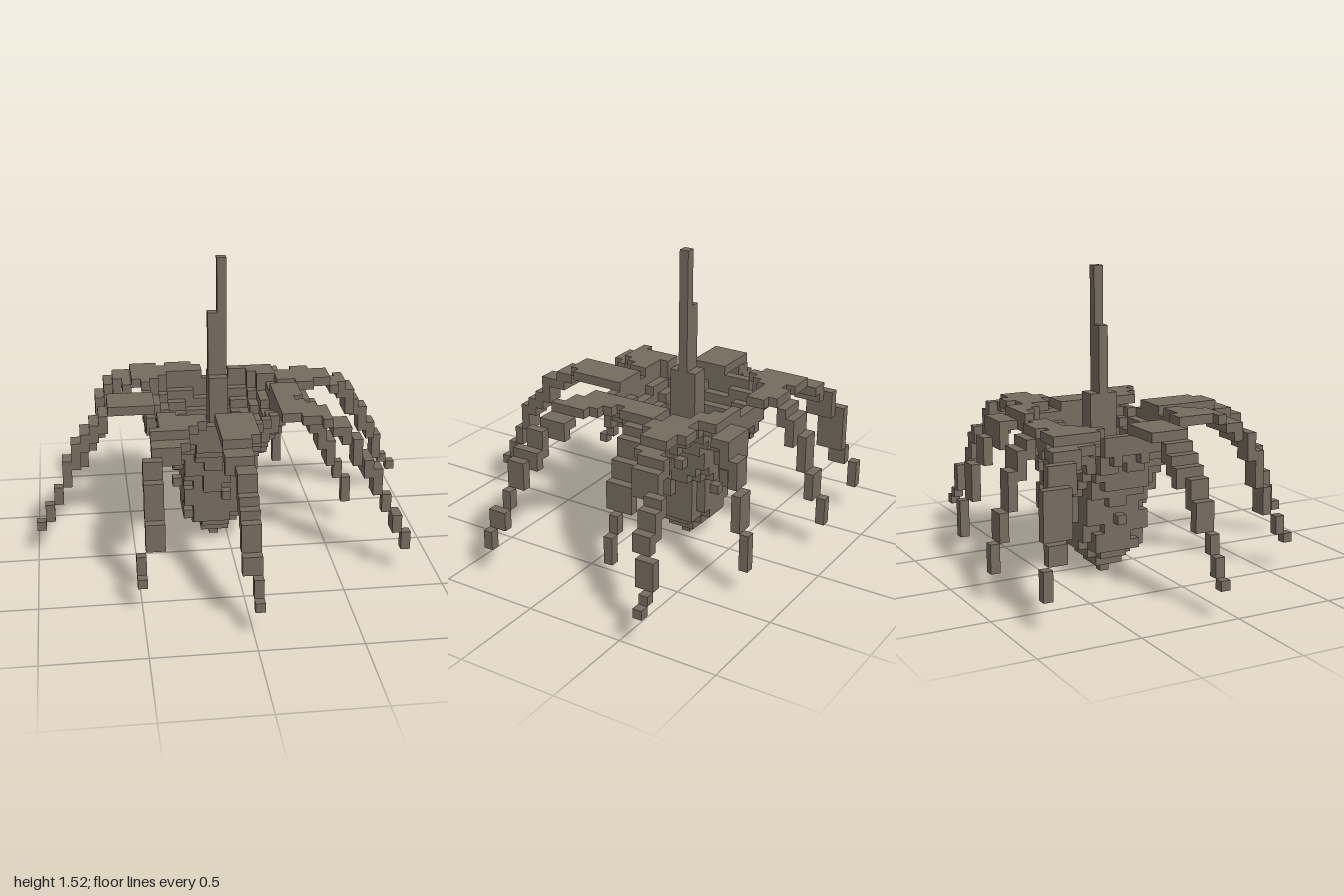
import * as THREE from 'three';

const U = 1 / 21; // edge of one cube
const CX = -1.5, CZ = -4.5; // axis of the pod, in cubes

// six cube faces: outward normal and the two edge directions (u x v = n)
const FACES = [
  [[1, 0, 0], [0, 1, 0], [0, 0, 1]], [[-1, 0, 0], [0, 0, 1], [0, 1, 0]],
  [[0, 1, 0], [0, 0, 1], [1, 0, 0]], [[0, -1, 0], [1, 0, 0], [0, 0, 1]],
  [[0, 0, 1], [1, 0, 0], [0, 1, 0]], [[0, 0, -1], [0, 1, 0], [1, 0, 0]],
];

// a set of cubes, turned into a mesh of only its exposed faces
class Cubes {
  constructor() { this.cells = new Map(); }
  add(x, y, z) { this.cells.set(`${x},${y},${z}`, [x, y, z]); }
  box(x0, x1, y0, y1, z0, z1) {
    for (let x = x0; x < x1; x++)
      for (let y = y0; y < y1; y++)
        for (let z = z0; z < z1; z++) this.add(x, y, z);
  }
  mesh(name, material) {
    const pos = [], nor = [];
    for (const c of this.cells.values()) {
      for (const [n, u, v] of FACES) {
        if (this.cells.has(c.map((a, i) => a + n[i]).join())) continue;
        const corner = (s, t) => c.map((a, i) =>
          (a + 0.5 + n[i] / 2 + s * u[i] / 2 + t * v[i] / 2) * U);
        const q = [corner(-1, -1), corner(1, -1), corner(1, 1), corner(-1, 1)];
        for (const i of [0, 1, 2, 0, 2, 3]) { pos.push(...q[i]); nor.push(...n); }
      }
    }
    const g = new THREE.BufferGeometry();
    g.setAttribute('position', new THREE.Float32BufferAttribute(pos, 3));
    g.setAttribute('normal', new THREE.Float32BufferAttribute(nor, 3));
    const m = new THREE.Mesh(g, material);
    m.name = name;
    return m;
  }
}

// distance from the pod axis, between round and square
const reach = (x, z) => Math.pow(
  Math.abs(x + 0.5 - CX) ** 2.6 + Math.abs(z + 0.5 - CZ) ** 2.6, 1 / 2.6);

// repeatable roughness from 0 to 1
const rough = (x, y, z) => {
  const s = Math.sin(x * 12.99 + y * 78.23 + z * 37.72) * 43758.5;
  return s - Math.floor(s);
};

// Drooping leaf: rows run from the tip inward as [count, low, high],
// drop lists the underside height of each row until it lies flat on top.
function leaf(axis, tip, step, rows, drop) {
  const cubes = new Cubes();
  let i = 0;
  for (const [count, lo, hi] of rows) {
    for (let k = 0; k < count; k++, i++) {
      const a = tip + step * i;
      const y0 = drop[Math.min(i, drop.length - 1)];
      const lap = y0 >= 8 ? 1 : 0; // the upper rows overlap in height
      const y1 = Math.max(y0 + 1, Math.min(16, (drop[i + 1] ?? 16) + lap));
      for (let b = lo; b < hi; b++) {
        const [x, z] = axis === 'x' ? [a, b] : [b, a];
        if (reach(x, z) < 6.9) continue; // leave the bowl open
        for (let y = y0; y < y1; y++) cubes.add(x, y, z);
      }
    }
  }
  return cubes;
}

export function createModel() {
  const model = new THREE.Group();
  const bark = new THREE.MeshStandardMaterial({ color: 0x766c5f });
  bark.name = 'grey brown bark';

  // tapering pod, open at the top as a stepped bowl
  const outer = [0.6, 1.6, 2.6, 3.5, 3.6, 3.6, 3.9, 4, 4.2, 4.7, 5, 5.5, 6.2, 6.9, 7.4, 7.8];
  const inner = { 9: 1.6, 10: 2.6, 11: 3.6, 12: 4.5, 13: 5.3, 14: 6.1, 15: 6.8 };
  const pod = new Cubes();
  outer.forEach((r, y) => {
    for (let x = -11; x < 9; x++) {
      for (let z = -14; z < 6; z++) {
        const d = reach(x, z);
        const edge = y < 3 ? r : r + (rough(x, y, z) - 0.5) * 0.8;
        if (d <= edge && d >= (inner[y] ?? 0)) pod.add(x, y, z);
      }
    }
  });
  model.add(pod.mesh('pod', bark));

  // central stalk: thick foot and two thin shoots of unequal height
  const stalk = new Cubes();
  stalk.box(-2, 0, 9, 19, -6, -3);
  stalk.box(-2, -1, 19, 26, -5, -4);
  stalk.box(-1, 0, 19, 32, -5, -4);
  model.add(stalk.mesh('stalk', bark));

  // ring of drooping leaves
  const leaves = {
    rightLeaf: leaf('x', -21, 1,
      [[3, -2, -1], [2, -3, -1], [3, -4, -1], [5, -5, -1], [2, -6, -1]],
      [3, 4, 6, 8, 10, 12, 13, 14, 16]),
    frontLeaf: leaf('z', 18, -1,
      [[2, 0, 1], [6, -1, 1], [3, -2, 1], [6, -2, 2]],
      [3, 4, 6, 8, 10, 11, 12, 14, 14, 15, 16]),
    frontRightLeaf: leaf('z', 12, -1,
      [[2, -11, -10], [3, -10, -8], [1, -9, -6], [2, -9, -5], [1, -8, -4], [3, -8, -3]],
      [3, 4, 6, 9, 12, 14, 15, 16]),
    backRightLeaf: leaf('x', -16, 1,
      [[1, -18, -17], [1, -17, -15], [1, -17, -14], [1, -16, -13], [1, -15, -12], [1, -15, -10],
        [1, -14, -9], [1, -14, -8], [1, -14, -8], [1, -13, -8]],
      [3, 6, 8, 12, 14, 15, 16]),
    backLeaf: leaf('z', -19, 1,
      [[1, -6, -5], [2, -6, -4], [3, -6, -3], [2, -6, -2], [2, -5, -1]],
      [3, 6, 9, 12, 14, 16]),
    backLeftLeaf: leaf('z', -17, 1,
      [[1, 7, 8], [1, 6, 8], [1, 5, 7], [2, 3, 7], [1, 1, 6], [2, 1, 6]],
      [3, 7, 11, 13, 15, 16]),
    longLeftLeaf: leaf('x', 20, -1,
      [[2, -13, -12], [1, -13, -11], [3, -12, -10], [2, -11, -8], [3, -10, -7], [2, -11, -6], [2, -10, -7]],
      [3, 4, 5, 8, 9, 11, 12, 14, 15, 16]),
    frontLeftLeaf: leaf('x', 17, -1,
      [[1, 7, 8], [1, 6, 8], [1, 6, 7], [1, 5, 7], [1, 4, 7], [1, 4, 6], [2, 2, 5],
        [1, 1, 5], [1, 0, 4], [1, -1, 4], [2, -2, 3]],
      [3, 5, 7, 9, 11, 12, 14, 15, 16]),
    shortLeftLeaf: leaf('x', 13, -1,
      [[2, -5, -4], [3, -6, -3], [1, -7, -3], [3, -6, -2]],
      [3, 6, 8, 10, 12, 14, 16]),
  };
  for (const [name, cubes] of Object.entries(leaves)) model.add(cubes.mesh(name, bark));

  return model;
}
